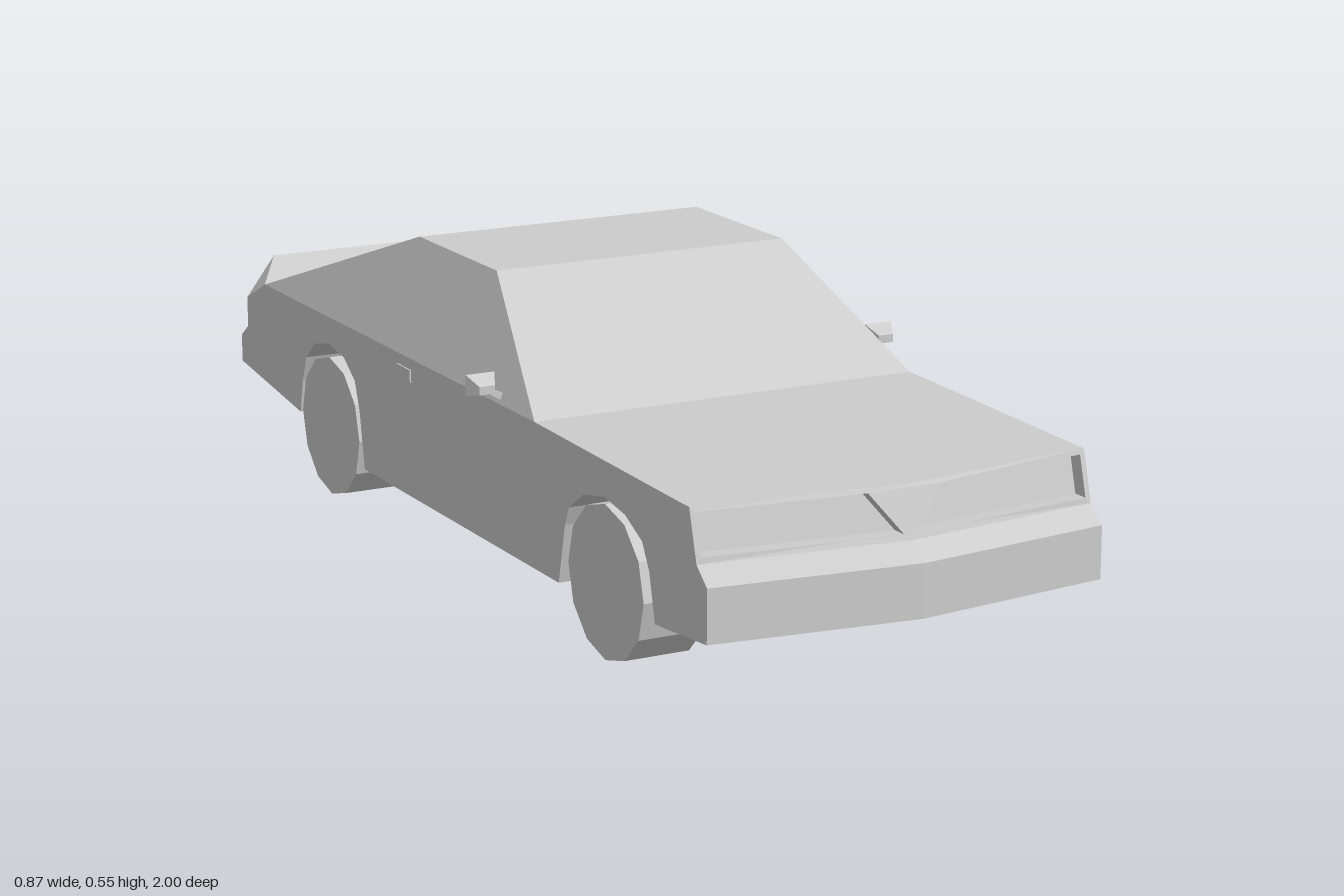
import * as THREE from 'three';
import { ConvexGeometry } from 'three/addons/geometries/ConvexGeometry.js';

const material = new THREE.MeshStandardMaterial({ color: 0xcccccc, flatShading: true });
const HALF = 0.38, INNER = 0.22;

export function createModel() {
  const model = new THREE.Group();

  const add = (name, geometry, parent = model) => {
    const mesh = new THREE.Mesh(geometry, material);
    mesh.name = name;
    parent.add(mesh);
    return mesh;
  };
  const toShape = pts => new THREE.Shape(pts.map(p => new THREE.Vector2(...p)));
  const hull = pts => new ConvexGeometry(pts.map(p => new THREE.Vector3(...p)));
  // Corners given for +x are repeated for -x
  const symmetric = pts => hull(pts.flatMap(([x, y, z]) => [[x, y, z], [-x, y, z]]));
  // Push the front out towards the centre line, giving the V-shaped nose
  const vee = x => 0.118 * (HALF - Math.abs(x));
  // Slab with a (z, y) outline, running from x0 to x1
  const slab = (outline, x0, x1) => {
    const g = new THREE.ExtrudeGeometry(toShape(outline), { depth: x1 - x0, bevelEnabled: false });
    g.rotateY(-Math.PI / 2).translate(x1, 0, 0);
    const p = g.attributes.position;
    for (let i = 0; i < p.count; i++) {
      if (p.getZ(i) > 0.8) p.setZ(i, p.getZ(i) + vee(p.getX(i)));
    }
    g.computeVertexNormals();
    return g;
  };

  // Lower body: centre halves without arches, side slabs with wheel arches
  const upper = [
    [-1, 0.17], [-1, 0.225], [-0.965, 0.25], [-0.965, 0.31], [-0.87, 0.355], [0.34, 0.355],
    [0.865, 0.345], [0.89, 0.255], [0.92, 0.255], [0.955, 0.225], [0.955, 0.13], [0.78, 0.115],
  ];
  const frontArch = [[0.76, 0.2], [0.735, 0.245], [0.675, 0.275], [0.6, 0.287], [0.525, 0.272],
    [0.47, 0.235], [0.455, 0.2], [0.43, 0.09]];
  const rearArch = [[-0.39, 0.09], [-0.41, 0.2], [-0.43, 0.255], [-0.48, 0.29], [-0.55, 0.302],
    [-0.62, 0.288], [-0.665, 0.25], [-0.685, 0.2], [-0.7, 0.132]];
  const centreOutline = [...upper, [0.43, 0.09], [-0.39, 0.09], [-0.7, 0.132]];
  const sideOutline = [...upper, ...frontArch, ...rearArch];
  add('bodyCentreRight', slab(centreOutline, -INNER, 0));
  add('bodyCentreLeft', slab(centreOutline, 0, INNER));
  add('bodySideRight', slab(sideOutline, -HALF, -INNER));
  add('bodySideLeft', slab(sideOutline, INNER, HALF));

  // Nose frame with two recessed openings
  const frame = toShape([[-HALF, 0.255], [0, 0.255], [HALF, 0.255],
    [HALF, 0.345], [0, 0.345], [-HALF, 0.345]]);
  for (const s of [-1, 1]) {
    frame.holes.push(toShape([[s * 0.37, 0.265], [s * 0.015, 0.265], [s * 0.07, 0.336], [s * 0.37, 0.336]]));
  }
  const nose = new THREE.ExtrudeGeometry(frame, { depth: 0.03, bevelEnabled: false });
  const np = nose.attributes.position;
  for (let i = 0; i < np.count; i++) {
    np.setZ(i, np.getZ(i) + 0.89 - (np.getY(i) - 0.255) * 0.278 + vee(np.getX(i)));
  }
  nose.computeVertexNormals();
  add('noseFrame', nose);

  // Cabin and hipped tail spoiler
  add('cabin', symmetric([[HALF, 0.355, 0.34], [HALF, 0.355, -0.87], [0.295, 0.55, 0.02], [0.295, 0.55, -0.31]]));
  add('spoiler', symmetric([[HALF, 0.355, -0.87], [HALF, 0.31, -0.965], [0.32, 0.39, -0.965]]));

  for (const s of [-1, 1]) {
    const side = s > 0 ? 'Left' : 'Right';

    // Twelve-sided wheels
    for (const [end, z] of [['front', 0.6], ['rear', -0.555]]) {
      const wheel = new THREE.CylinderGeometry(0.137, 0.137, 0.123, 12).rotateZ(Math.PI / 2);
      add(`${end}Wheel${side}`, wheel).position.set(s * 0.3165, 0.137, z);
    }

    // Door mirror: housing tapering forward, on a thin stem
    const mirror = new THREE.Group();
    mirror.name = `mirror${side}`;
    model.add(mirror);
    const rect = (x0, x1, y0, y1, z) => [[s * x0, y0, z], [s * x1, y0, z], [s * x1, y1, z], [s * x0, y1, z]];
    add('mirrorHousing', hull([...rect(0.38, 0.436, 0.373, 0.41, 0.183),
      ...rect(0.393, 0.423, 0.378, 0.393, 0.212)]), mirror);
    add('mirrorStem', hull([...rect(0.365, 0.37, 0.358, 0.37, 0.19), ...rect(0.365, 0.37, 0.358, 0.37, 0.2),
      ...rect(0.395, 0.4, 0.376, 0.384, 0.19), ...rect(0.395, 0.4, 0.376, 0.384, 0.2)]), mirror);

    // Door handle: bar with a short leg at its front
    const handle = new THREE.Group();
    handle.name = `doorHandle${side}`;
    model.add(handle);
    add('handleBar', new THREE.BoxGeometry(0.006, 0.006, 0.06), handle).position.set(s * 0.38, 0.331, -0.2);
    add('handleLeg', new THREE.BoxGeometry(0.006, 0.022, 0.006), handle).position.set(s * 0.38, 0.321, -0.173);
  }
  return model;
}
